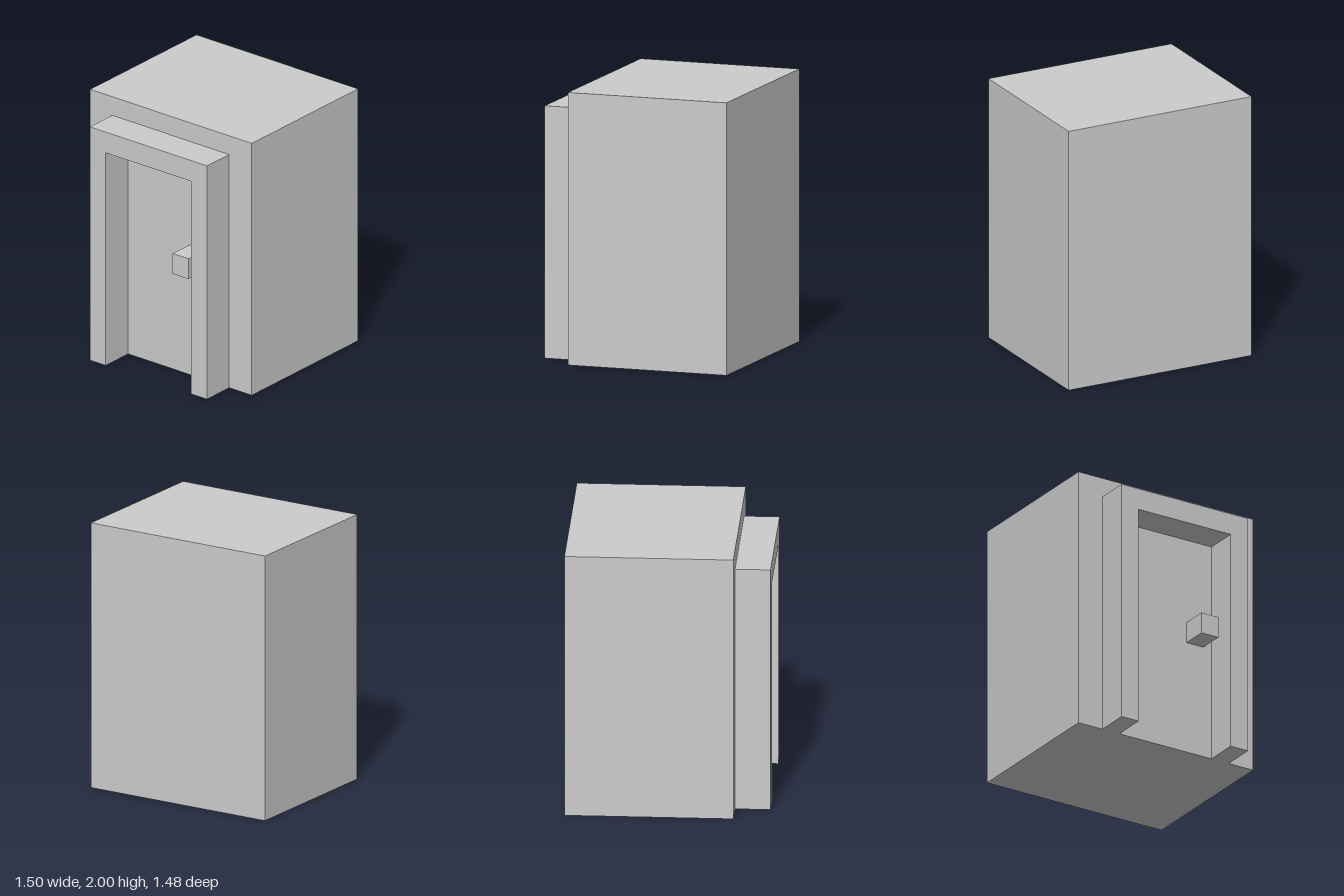
import * as THREE from 'three';

const material = new THREE.MeshStandardMaterial({ color: 0xcccccc, flatShading: true });

// Box given by its lower and upper corners
function box(name, [x0, y0, z0], [x1, y1, z1]) {
  const mesh = new THREE.Mesh(new THREE.BoxGeometry(x1 - x0, y1 - y0, z1 - z0), material);
  mesh.position.set((x0 + x1) / 2, (y0 + y1) / 2, (z0 + z1) / 2);
  mesh.name = name;
  return mesh;
}

export function createModel() {
  const group = new THREE.Group();
  group.name = 'doorwayHut';

  const back = -0.74, wall = 0.483, front = 0.74;

  // Main block; its front wall is also the door surface
  group.add(box('body', [-0.75, 0, back], [0.75, 2, wall]));

  // Door surround: an upside-down U standing out from the wall
  const outline = new THREE.Shape([
    [-0.545, 0], [-0.398, 0], [-0.398, 1.688], [0.392, 1.688],
    [0.392, 0], [0.541, 0], [0.541, 1.852], [-0.545, 1.852],
  ].map(([x, y]) => new THREE.Vector2(x, y)));
  const frame = new THREE.Mesh(
    new THREE.ExtrudeGeometry(outline, { depth: front - wall, bevelEnabled: false }), material);
  frame.position.z = wall;
  frame.name = 'doorFrame';
  group.add(frame);

  // Square door knob
  group.add(box('doorKnob', [0.178, 0.872, wall], [0.323, 1.033, wall + 0.2]));

  return group;
}
